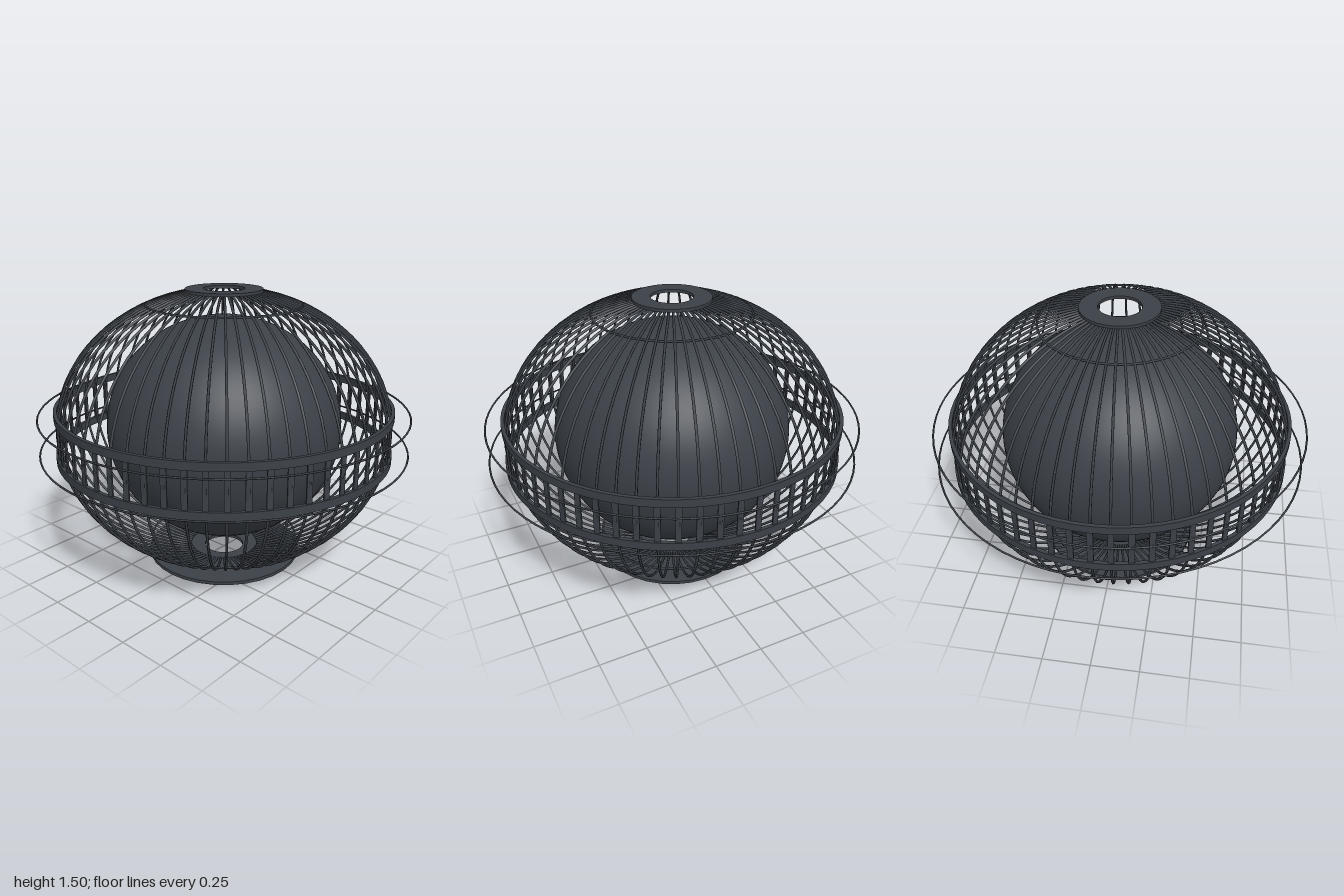
import * as THREE from 'three';

const MID = 0.755;   // height of the equator
const R = 0.9;       // cage radius
const H = 0.745;     // cage half height
const RIBS = 60;

const slate = new THREE.MeshStandardMaterial({ color: 0x3c4148 });
slate.name = 'dark slate';

function add(parent, name, geometry, y = 0) {
  const mesh = new THREE.Mesh(geometry, slate);
  mesh.name = name;
  mesh.position.y = y;
  parent.add(mesh);
  return mesh;
}

// Closed ring with a rectangular section
function ring(inner, outer, y0, y1, sides) {
  const corners = [[inner, y0], [outer, y0], [outer, y1], [inner, y1]];
  const pos = [];
  for (let i = 0; i < 4; i++) {
    const pair = [corners[i], corners[(i + 1) % 4]].map(([x, y]) => new THREE.Vector2(x, y));
    const g = new THREE.LatheGeometry(pair, sides).toNonIndexed();
    pos.push(...g.attributes.position.array);
  }
  const out = new THREE.BufferGeometry();
  out.setAttribute('position', new THREE.Float32BufferAttribute(pos, 3));
  out.computeVertexNormals();
  return out;
}

function hoop(radius, tube) {
  return new THREE.TorusGeometry(radius, tube, 6, 72).rotateX(Math.PI / 2);
}

export function createModel() {
  const model = new THREE.Group();
  model.name = 'cagedGlobe';

  // Slightly flattened inner globe
  const globe = new THREE.SphereGeometry(0.64, 64, 40);
  globe.scale(1, 0.603 / 0.64, 1);
  add(model, 'innerGlobe', globe, MID);

  // Meridian ribs running from the base to the top collar
  const ribs = new THREE.Group();
  ribs.name = 'cageRibs';
  const end = Math.acos(0.19 / R);
  const points = [];
  for (let i = 0; i <= 24; i++) {
    const a = -end + (2 * end * i) / 24;
    points.push(new THREE.Vector3(R * Math.cos(a), MID + H * Math.sin(a), 0));
  }
  const ribGeo = new THREE.TubeGeometry(new THREE.CatmullRomCurve3(points), 32, 0.007, 5);
  // Broader slats fill the gap between the two equator bands
  const slatGeo = new THREE.BoxGeometry(0.008, 0.2, 0.03).translate(R, 0, 0);
  for (let i = 0; i < RIBS; i++) {
    const angle = (i / RIBS) * Math.PI * 2;
    add(ribs, 'rib', ribGeo).rotation.y = angle;
    add(ribs, 'equatorSlat', slatGeo, MID).rotation.y = angle;
  }
  model.add(ribs);

  // Mirrored pairs of bands, outer hoops and polar hoops
  for (const [side, s] of [['upper', 1], ['lower', -1]]) {
    add(model, side + 'Band', ring(0.893, 0.912, -0.021, 0.021, 72), MID + s * 0.117);
    add(model, side + 'OuterHoop', hoop(0.995, 0.005), MID + s * 0.098);
    add(model, side + 'PolarHoop', hoop(0.41, 0.006), MID + s * H * 0.89);
  }

  // Open top collar and wide base plate
  add(model, 'topCollar', ring(0.11, 0.205, 1.484, 1.5, 32));
  add(model, 'basePlate', ring(0.11, 0.43, 0, 0.018, 32));

  return model;
}
